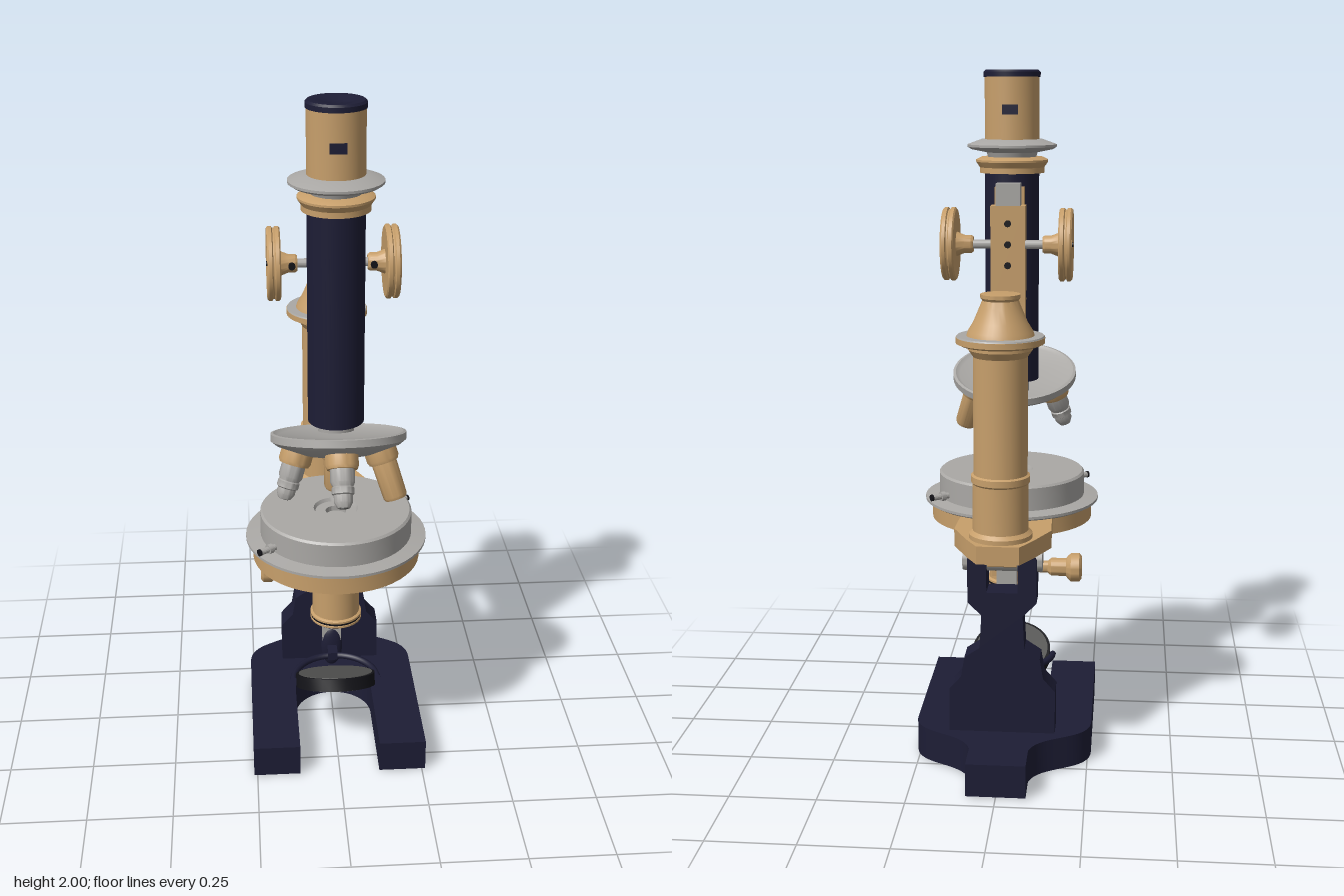
import * as THREE from 'three';
import { toCreasedNormals } from 'three/addons/utils/BufferGeometryUtils.js';

const material = (name, color) => Object.assign(new THREE.MeshStandardMaterial({ color }), { name });

export function createModel() {
  const navy = material('navy enamel', 0x1d1d35);
  const brass = material('brass', 0xc79f6b);
  const steel = material('steel', 0xaaa8a5);
  const black = material('black', 0x131318);
  const glass = material('grey glass', 0x555553);
  const root = new THREE.Group();
  root.name = 'microscope';

  const add = (name, geo, mat, pos = [0, 0, 0], parent = root) => {
    const mesh = new THREE.Mesh(geo, mat);
    mesh.name = name;
    mesh.position.set(...pos);
    parent.add(mesh);
    return mesh;
  };
  const group = (name, pos, parent = root) => {
    const g = new THREE.Group();
    g.name = name;
    g.position.set(...pos);
    parent.add(g);
    return g;
  };
  // Turned part: profile is [radius, height] from bottom to top
  const turned = (profile, segments = 40) => toCreasedNormals(
    new THREE.LatheGeometry(profile.map(p => new THREE.Vector2(...p)), segments), 0.6);
  const rod = (r, h, n = 32) => turned([[0, -h / 2], [r, -h / 2], [r, h / 2], [0, h / 2]], n);
  const box = (x, y, z) => new THREE.BoxGeometry(x, y, z);
  const extrude = (shape, depth) => toCreasedNormals(
    new THREE.ExtrudeGeometry(shape, { depth, bevelEnabled: false, curveSegments: 20 }), 0.6);
  // Shape drawn in x,z with its upper face at y = top
  const plan = (shape, top, depth) => extrude(shape, depth).rotateX(Math.PI / 2).translate(0, top, 0);
  // Shape drawn in z,y, centred on x = 0
  const side = (shape, width) => extrude(shape, width).translate(0, 0, -width / 2).rotateY(-Math.PI / 2);
  const polygon = pts => new THREE.Shape(pts.map(p => new THREE.Vector2(...p)));
  const mirrored = half => [...half, ...half.slice().reverse().map(([x, y]) => [-x, y])];

  // Horseshoe foot
  const foot = new THREE.Shape();
  foot.moveTo(-0.085, -0.45);
  foot.lineTo(0.085, -0.45);
  foot.lineTo(0.085, -0.35);
  foot.bezierCurveTo(0.11, -0.24, 0.26, -0.27, 0.26, -0.14);
  foot.lineTo(0.26, 0.33);
  foot.lineTo(0.12, 0.33);
  foot.lineTo(0.12, 0.03);
  foot.absarc(0, 0.03, 0.12, 0, Math.PI, true);
  foot.lineTo(-0.12, 0.33);
  foot.lineTo(-0.26, 0.33);
  foot.lineTo(-0.26, -0.14);
  foot.bezierCurveTo(-0.26, -0.27, -0.11, -0.24, -0.085, -0.35);
  add('horseshoeFoot', plan(foot, 0.1, 0.097), navy);
  for (const s of [-1, 1]) {
    add('footPad', box(0.1, 0.004, 0.11), steel, [s * 0.19, 0.002, 0.25]);
    add('footPad', box(0.1, 0.004, 0.11), steel, [s * 0.14, 0.002, -0.155]);
  }

  // Forked pillar and tilting hinge
  const pillar = polygon(mirrored([
    [0.155, 0.1], [0.155, 0.23], [0.12, 0.27], [0.11, 0.33], [0.065, 0.36], [0.06, 0.46],
    [0.1, 0.5], [0.1, 0.63], [0.085, 0.655], [0.045, 0.655], [0.045, 0.53]]));
  add('pillar', extrude(pillar, 0.08), navy, [0, 0, -0.23]);
  add('hingePin', rod(0.034, 0.23).rotateZ(Math.PI / 2), steel, [0, 0.62, -0.19]);
  add('hingeTongue', side(polygon([[-0.03, 0.66], [-0.04, 0.585], [-0.16, 0.575], [-0.23, 0.61], [-0.23, 0.66]]), 0.085), brass);

  // Mirror on its hanging bar
  add('mirrorBar', box(0.06, 0.45, 0.02), steel, [0, 0.425, -0.055]);
  add('barClamp', box(0.08, 0.03, 0.05), steel, [0, 0.635, -0.055]);
  add('mirrorPivot', new THREE.SphereGeometry(1, 24, 16).scale(0.034, 0.07, 0.018), navy, [0, 0.21, -0.052]);
  add('mirrorArm', box(0.03, 0.025, 0.06), navy, [0, 0.208, -0.018]);
  const mirror = group('mirror', [0, 0.205, 0.13]);
  mirror.rotation.x = -0.42;
  add('mirrorRim', rod(0.122, 0.038), black, [0, 0, 0], mirror);
  for (const s of [-1, 1]) add('mirrorFace', rod(0.114, 0.006), glass, [0, s * 0.018, 0], mirror);
  add('mirrorFork', new THREE.TorusGeometry(0.13, 0.01, 8, 28, Math.PI).rotateX(-Math.PI / 2), navy, [0, 0.205, 0.13]);

  // Stage plate running back under the column
  const plate = new THREE.Shape();
  plate.moveTo(-0.06, -0.365);
  plate.lineTo(0.06, -0.365);
  plate.lineTo(0.095, -0.3);
  plate.lineTo(0.14, -0.2);
  plate.lineTo(0.135, -0.07);
  plate.absarc(0, 0.14, 0.245, -0.98, Math.PI + 0.98, false);
  plate.lineTo(-0.135, -0.07);
  plate.lineTo(-0.14, -0.2);
  plate.lineTo(-0.095, -0.3);
  add('stagePlate', plan(plate, 0.712, 0.052), brass);
  add('rotatingStage', turned([[0, 0.71], [0.25, 0.71], [0.265, 0.718], [0.265, 0.726], [0.222, 0.732], [0.222, 0.8],
    [0.216, 0.806], [0.065, 0.806], [0.06, 0.796], [0.03, 0.796], [0.03, 0.78], [0, 0.78]], 56), steel, [0, 0, 0.135]);
  add('stageTail', box(0.11, 0.014, 0.1), steel, [0, 0.719, -0.105]);
  // Opposed centring screws on the stage rim
  for (const s of [-1, 1]) {
    const screw = group('centringScrew', [s * 0.19, 0.75, 0.135 - s * 0.13]);
    screw.rotation.y = s > 0 ? 2.18 : -0.96;
    add('screwShank', rod(0.009, 0.07, 14).rotateX(Math.PI / 2), steel, [0, 0, 0.01], screw);
    add('screwHead', rod(0.014, 0.014, 16).rotateX(Math.PI / 2), steel, [0, 0, 0.01], screw);
    add('screwTip', rod(0.01, 0.006, 14).rotateX(Math.PI / 2), black, [0, 0, 0.046], screw);
  }

  // Condenser below the stage, with focusing bracket and knob
  add('condenser', turned([[0.062, 0.45], [0.07, 0.45], [0.07, 0.625], [0.055, 0.635], [0.055, 0.665], [0, 0.665]]), brass, [0, 0, 0.135]);
  add('irisRing', turned([[0, 0.434], [0.07, 0.434], [0.077, 0.438], [0.077, 0.444], [0.074, 0.446], [0.074, 0.45],
    [0.077, 0.452], [0.077, 0.458], [0.07, 0.462], [0, 0.462]]), brass, [0, 0, 0.135]);
  add('irisGroove', turned([[0.0755, 0.444], [0.0755, 0.452]]), black, [0, 0, 0.135]);
  add('condenserLens', rod(0.066, 0.006), navy, [0, 0.433, 0.135]);
  add('condenserBracket', box(0.1, 0.16, 0.07), brass, [0, 0.58, 0.04]);
  for (const s of [-1, 1]) add('bracketLug', box(0.03, 0.03, 0.1), steel, [s * 0.1, 0.648, 0.05]);
  add('condenserKnob', turned([[0, -0.17], [0.018, -0.17], [0.018, -0.01], [0.027, 0], [0.027, 0.045], [0.034, 0.05],
    [0.043, 0.06], [0.043, 0.085], [0.034, 0.092], [0, 0.092]]).rotateZ(Math.PI / 2), brass, [-0.13, 0.535, 0.005]);

  // Rear column with fine-focus head
  const column = group('column', [0, 0, -0.265]);
  add('columnBody', turned([[0, 0.71], [0.09, 0.71], [0.09, 0.725], [0.079, 0.735], [0.079, 0.87], [0.083, 0.875],
    [0.083, 0.893], [0.076, 0.897], [0.076, 1.23], [0.09, 1.25], [0.09, 1.265], [0, 1.265]]), brass, [0, 0, 0], column);
  add('fineFocusFlange', turned([[0, 1.262], [0.11, 1.262], [0.123, 1.268], [0.123, 1.284], [0, 1.284]]), brass, [0, 0, 0], column);
  add('fineFocusScale', turned([[0.123, 1.282], [0.12, 1.288], [0, 1.29]]), steel, [0, 0, 0], column);
  add('fineFocusHead', turned([[0, 1.285], [0.095, 1.285], [0.09, 1.3], [0.075, 1.325], [0.058, 1.365], [0.05, 1.385],
    [0.055, 1.392], [0.055, 1.402], [0, 1.405]]), brass, [0, 0, 0], column);

  // Curved arm joining column to focusing slide
  const arm = new THREE.Shape();
  arm.moveTo(-0.21, 0.9);
  arm.bezierCurveTo(-0.19, 1.0, -0.14, 1.07, -0.02, 1.09);
  arm.lineTo(0.03, 1.09);
  arm.lineTo(0.03, 1.35);
  arm.lineTo(-0.025, 1.35);
  arm.lineTo(-0.025, 1.25);
  arm.bezierCurveTo(-0.04, 1.16, -0.16, 1.16, -0.18, 1.25);
  arm.lineTo(-0.25, 1.25);
  arm.lineTo(-0.25, 0.9);
  add('arm', side(arm, 0.1), brass);
  add('focusSlide', box(0.085, 0.58, 0.036), brass, [0, 1.38, 0.047]);
  add('rack', box(0.07, 0.61, 0.045), steel, [0, 1.378, 0.0075]);
  add('pinionHousing', box(0.1, 0.29, 0.054), brass, [0, 1.475, 0.002]);
  for (let i = 0; i < 3; i++) add('housingScrew', rod(0.01, 0.006, 14).rotateX(Math.PI / 2), black, [0, 1.45 + i * 0.06, -0.026]);
  const pointer = polygon([[-0.045, -0.14], [0.045, -0.14], [0.018, -0.075], [0.018, -0.02], [-0.018, -0.02], [-0.018, -0.075]]);
  add('indexPointer', plan(pointer, 1.3, 0.007), brass);
  add('pointerTop', plan(pointer, 1.304, 0.004), steel);
  for (const z of [-0.105, -0.08]) add('pointerScrew', rod(0.009, 0.006, 14), black, [0, 1.305, z]);

  // Coarse-focus axle and paired knobs
  add('focusAxle', rod(0.013, 0.3, 20).rotateZ(Math.PI / 2), steel, [0, 1.51, -0.01]);
  for (const s of [-1, 1]) {
    const knob = group('coarseFocusKnob', [0, 1.51, -0.01]);
    knob.rotation.z = -s * Math.PI / 2;
    add('knobDisc', turned([[0, 0.1], [0.022, 0.1], [0.026, 0.106], [0.026, 0.125], [0.035, 0.148], [0.1, 0.148], [0.105, 0.152],
      [0.105, 0.162], [0.1, 0.165], [0.1, 0.169], [0.105, 0.172], [0.105, 0.181], [0.1, 0.186],
      [0.094, 0.186], [0.085, 0.18], [0.016, 0.177], [0.014, 0.184], [0, 0.184]]), brass, [0, 0, 0], knob);
    add('knobScrew', rod(0.007, 0.006, 14), black, [0, 0.185, 0], knob);
    add('hubScrew', rod(0.01, 0.012, 12).rotateX(Math.PI / 2), black, [0, 0.116, 0.03], knob);
  }

  // Body tube, collar and eyepiece
  const tube = group('opticalTube', [0, 0, 0.135]);
  add('bodyTube', turned([[0, 1.09], [0.08, 1.09], [0.08, 1.712], [0, 1.712]]), navy, [0, 0, 0], tube);
  add('tubeCollar', turned([[0, 1.706], [0.095, 1.706], [0.095, 1.722], [0.106, 1.738], [0.106, 1.744], [0.09, 1.752], [0, 1.752]]), brass, [0, 0, 0], tube);
  add('eyepieceFlange', turned([[0, 1.75], [0.07, 1.75], [0.075, 1.765], [0.12, 1.774], [0.131, 1.781], [0.131, 1.788],
    [0.09, 1.803], [0, 1.803]]), steel, [0, 0, 0], tube);
  add('eyepiece', turned([[0, 1.8], [0.08, 1.8], [0.08, 1.982], [0, 1.982]]), brass, [0, 0, 0], tube);
  add('eyepieceCap', turned([[0, 1.98], [0.083, 1.98], [0.083, 1.994], [0.077, 2], [0.05, 2], [0.035, 1.992], [0, 1.992]]), navy, [0, 0, 0], tube);
  for (const s of [-1, 1]) add('eyepieceSlot', box(0.046, 0.028, 0.008), navy, [0, 1.888, s * 0.078], tube);

  // Tilted revolving nosepiece with four objectives
  add('nosepieceNeck', rod(0.052, 0.07), steel, [0, 1.07, 0.135]);
  const nose = group('nosepiece', [0, 1.075, 0.238]);
  nose.rotation.x = -0.3;
  add('nosepieceDisc', turned([[0, -0.04], [0.1, -0.04], [0.175, -0.012], [0.19, 0], [0.19, 0.02], [0.182, 0.022],
    [0.17, 0.014], [0.04, 0.008], [0, 0.008]], 48), steel, [0, 0, 0], nose);
  add('nosepiecePivot', rod(0.03, 0.03), steel, [0, -0.05, 0], nose);
  const objectives = [[0, steel, 0.16], [Math.PI / 2, brass, 0.165], [Math.PI, brass, 0.155], [-Math.PI / 2, steel, 0.155]];
  for (const [angle, tip, length] of objectives) {
    const turn = group('objectiveMount', [0, -0.015, 0], nose);
    turn.rotation.y = angle;
    const lens = group('objective', [0, 0, 0.11], turn);
    lens.rotation.x = -0.3;
    add('objectiveCollar', turned([[0, -0.055], [0.042, -0.055], [0.046, -0.045], [0.046, 0], [0, 0]], 28), brass, [0, 0, 0], lens);
    const profile = tip === brass
      ? [[0, -length], [0.03, -length], [0.034, -length + 0.008], [0.036, -0.05], [0, -0.05]]
      : [[0, -length], [0.018, -length], [0.026, -length + 0.015], [0.026, -0.125], [0.031, -0.122], [0.031, -0.105],
        [0.028, -0.102], [0.034, -0.09], [0.034, -0.05], [0, -0.05]];
    add('objectiveBarrel', turned(profile, 28), tip, [0, 0, 0], lens);
    add('objectiveLens', rod(0.013, 0.004, 20), glass, [0, -length, 0], lens);
  }
  return root;
}
